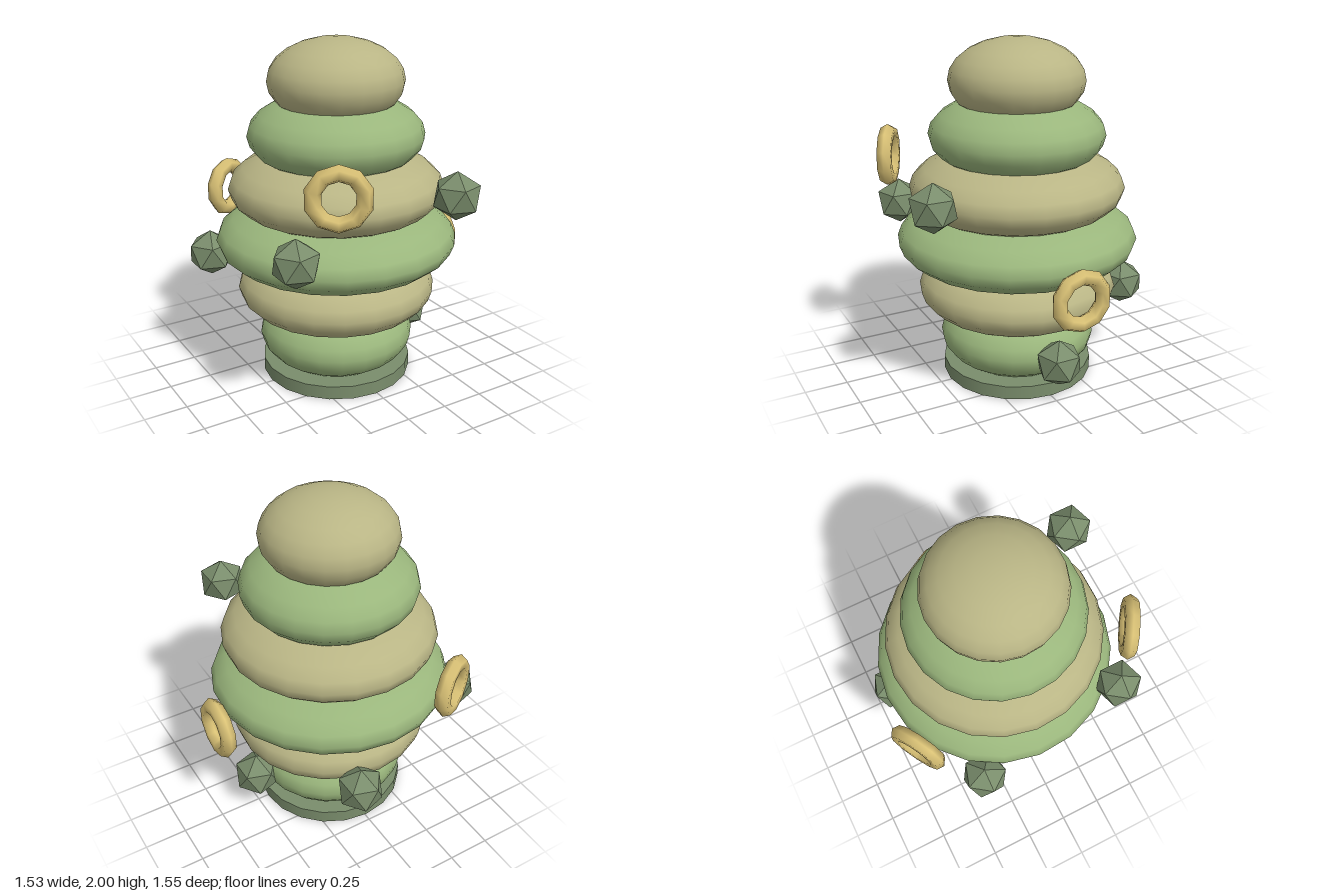
import * as THREE from 'three';

const mat = (name, color) => {
  const m = new THREE.MeshStandardMaterial({ color });
  m.name = name;
  return m;
};

export function createModel() {
  const tan = mat('tan', 0xb9b585);
  const green = mat('leaf green', 0x9ab67c);
  const moss = mat('dark moss', 0x7a8d6c);
  const gold = mat('gold', 0xdac276);

  const model = new THREE.Group();
  model.name = 'stackedTower';
  // Everything is arranged around the tower's own axis
  const tower = new THREE.Group();
  tower.name = 'tower';
  tower.position.set(-0.01, 0, -0.01);
  model.add(tower);

  const add = (name, geometry, material, x, y, z) => {
    const mesh = new THREE.Mesh(geometry, material);
    mesh.name = name;
    mesh.position.set(x, y, z);
    tower.add(mesh);
    return mesh;
  };

  // Base disc
  add('base', new THREE.CylinderGeometry(0.445, 0.445, 0.08, 20), moss, 0, 0.04, 0);

  // Squashed spheres, alternating in colour
  [0.457, 0.58, 0.698, 0.62, 0.505, 0.387].forEach((r, i) => {
    const geo = new THREE.SphereGeometry(1, 21, 12);
    geo.scale(r, 0.238, r); // scales the normals correctly as well
    geo.rotateY(-0.08);
    add('layer' + (i + 1), geo, i % 2 ? tan : green, 0, 0.244 + i * 0.3036, 0);
  });

  // Faceted studs spiralling upwards, one vertex pointing up
  const studGeo = new THREE.IcosahedronGeometry(0.138, 0);
  studGeo.rotateZ(Math.atan(2 / (1 + Math.sqrt(5))));
  studGeo.computeVertexNormals(); // separate triangles, so this is flat
  [0.515, 0.652, 0.74, 0.76, 0.75].forEach((r, i) => {
    const a = -i * THREE.MathUtils.degToRad(74.5);
    add('stud' + (i + 1), studGeo, moss, r * Math.cos(a), 0.245 + i * 0.2425, r * Math.sin(a));
  });

  // Rings facing outwards at three sides
  const ringGeo = new THREE.TorusGeometry(0.135, 0.045, 6, 10);
  ringGeo.rotateZ(Math.PI / 2);
  ringGeo.rotateY(Math.PI / 2);
  [0.735, 0.768, 0.738].forEach((r, i) => {
    const a = -i * Math.PI * 2 / 3;
    const ring = add('ring' + (i + 1), ringGeo, gold, r * Math.cos(a), 0.716 + i * 0.302, r * Math.sin(a));
    ring.rotation.y = -a;
  });

  return model;
}
